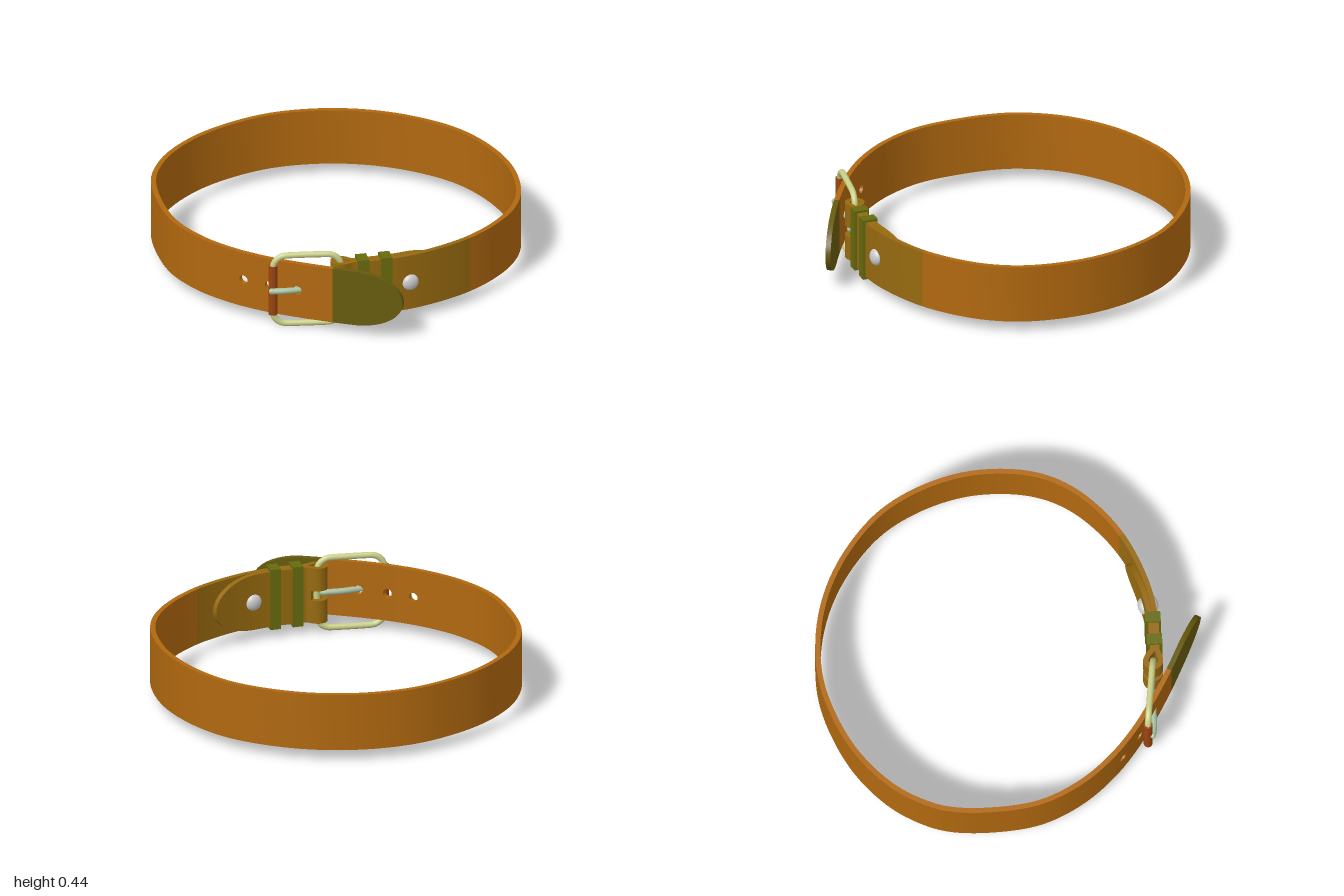
import * as THREE from 'three';

const MID = 0.225, HALF = 0.16, THICK = 0.014; // strap centre height, half width, half thickness

const mat = (color, side = THREE.FrontSide) => new THREE.MeshStandardMaterial({ color, side });
const leather = mat(0xb0680f), endLeather = mat(0x96690f), tipLeather = mat(0x665a0c);
const loopLeather = mat(0x666a0c), brass = mat(0xc8cf88), prongMetal = mat(0xa8c0a0);
const rollerMat = mat(0x9a4510), rivetMat = mat(0xcccccc);

// Strap centreline seen from above (x, z): tongue, round the waist, round the buckle bar, folded back
const path = new THREE.CatmullRomCurve3([
  [0.555, 0.957], [0.35, 0.94], [0.165, 0.925], [0, 0.904], [-0.2, 0.866], [-0.4, 0.80], [-0.6, 0.69],
  [-0.78, 0.52], [-0.91, 0.28], [-0.975, 0.08], [-0.985, -0.05], [-0.955, -0.25], [-0.85, -0.48],
  [-0.7, -0.665], [-0.5, -0.825], [-0.25, -0.925], [0, -0.957], [0.25, -0.927], [0.5, -0.835],
  [0.7, -0.68], [0.86, -0.475], [0.955, -0.25], [0.985, -0.07], [0.967, 0.1], [0.9, 0.28],
  [0.81, 0.43], [0.72, 0.535], [0.63, 0.62], [0.54, 0.69], [0.423, 0.758], [0.305, 0.808],
  [0.25, 0.828], [0.207, 0.862], [0.175, 0.865], [0.15, 0.842], [0.149, 0.812], [0.172, 0.79],
  [0.2, 0.79], [0.245, 0.802], [0.295, 0.782], [0.411, 0.732], [0.522, 0.665], [0.615, 0.59], [0.71, 0.5],
].map(([x, z]) => new THREE.Vector3(x, 0, z)), false, 'centripetal');
path.arcLengthDivisions = 2000;
const LENGTH = path.getLength();
const samples = path.getSpacedPoints(3000);

// Distance along the strap of the point nearest to (x, z)
function at(x, z) {
  let best = 0, bestD = Infinity;
  samples.forEach((p, i) => {
    const d = Math.hypot(p.x - x, p.z - z);
    if (d < bestD) { bestD = d; best = i; }
  });
  return (best / 3000) * LENGTH;
}

function named(mesh, name, parent) {
  mesh.name = name;
  parent.add(mesh);
  return mesh;
}

// Piece of bent strap from distance s0 to s1; top(s) and bottom(s) are heights about the middle
function band(s0, s1, top, bottom, n) {
  const pos = [], idx = [];
  const corners = (s) => {
    const u = Math.min(1, Math.max(0, s / LENGTH));
    const p = path.getPointAt(u), t = path.getTangentAt(u);
    const c = (side, y) => [p.x + t.z * side * THICK, MID + y, p.z - t.x * side * THICK];
    return [c(1, bottom(s)), c(1, top(s)), c(-1, top(s)), c(-1, bottom(s))];
  };
  for (let i = 0; i <= n; i++) {
    const s = s0 + (s1 - s0) * (0.5 - 0.5 * Math.cos((Math.PI * i) / n));
    const c = corners(s);
    for (let k = 0; k < 4; k++) pos.push(...c[k], ...c[(k + 1) % 4]);
    if (i === n) continue;
    for (let k = 0; k < 4; k++) {
      const a = i * 8 + k * 2, b = a + 1, d = a + 8, e = b + 8;
      idx.push(a, b, e, a, e, d);
    }
  }
  // closed ends
  const base = pos.length / 3;
  for (const s of [s0, s1]) corners(s).forEach((c) => pos.push(...c));
  idx.push(base, base + 3, base + 2, base, base + 2, base + 1);
  idx.push(base + 4, base + 5, base + 6, base + 4, base + 6, base + 7);
  const g = new THREE.BufferGeometry();
  g.setAttribute('position', new THREE.Float32BufferAttribute(pos, 3));
  g.setIndex(idx);
  g.computeVertexNormals();
  return g;
}

const full = () => HALF, fullLow = () => -HALF;

// Strap piece pierced by an opening with half height open(s)
function pierced(s0, s1, open, n, material, name, parent) {
  named(new THREE.Mesh(band(s0, s1, full, open, n), material), name + 'Upper', parent);
  named(new THREE.Mesh(band(s0, s1, (s) => -open(s), fullLow, n), material), name + 'Lower', parent);
}

function addStrap(g) {
  const plain = (s0, s1, n, material, name) =>
    named(new THREE.Mesh(band(s0, s1, full, fullLow, n), material), name, g);

  // tongue with rounded tip
  const tipEnd = at(0.165, 0.925);
  const tongue = (s) => HALF * Math.sqrt(Math.max(0, 1 - Math.max(0, 1 - s / 0.275) ** 2));
  named(new THREE.Mesh(band(0, tipEnd, tongue, (s) => -tongue(s), 40), tipLeather), 'tongue', g);

  // adjustment holes
  const r = 0.025;
  let s = tipEnd;
  for (const [x, z] of [[-0.03, 0.9], [-0.19, 0.869], [-0.335, 0.824]]) {
    const c = at(x, z);
    plain(s, c - r, 10, leather, 'strapFront');
    pierced(c - r, c + r, (v) => Math.sqrt(Math.max(0, r * r - (v - c) ** 2)), 16, leather, 'holePanel', g);
    s = c + r;
  }

  // waist, then the buckle end
  const endStart = at(0.81, 0.43);
  plain(s, endStart, 160, leather, 'strapBody');
  const slot0 = at(0.235, 0.838), slot1 = at(0.215, 0.794);
  plain(endStart, slot0, 40, endLeather, 'buckleEnd');

  // wrap round the bar, slotted for the prong
  pierced(slot0, slot1, () => 0.028, 40, endLeather, 'barWrap', g);

  // folded inner flap with rounded end
  const flapLen = 0.27;
  const flap = (v) => HALF * Math.sqrt(Math.max(0, 1 - Math.max(0, 1 - (LENGTH - v) / flapLen) ** 2));
  named(new THREE.Mesh(band(slot1, LENGTH, flap, (v) => -flap(v), 50), endLeather), 'innerFlap', g);
}

// Keeper loop: rectangular ring round both layers
function addKeeper(g, x, z) {
  const rect = (o, w, h) => {
    o.moveTo(-w, -h); o.lineTo(w, -h); o.lineTo(w, h); o.lineTo(-w, h); o.closePath();
    return o;
  };
  const shape = rect(new THREE.Shape(), 0.042, 0.174);
  shape.holes.push(rect(new THREE.Path(), 0.029, 0.161));
  const geo = new THREE.ExtrudeGeometry(shape, { depth: 0.06, bevelEnabled: false }).translate(0, 0, -0.03);
  const loop = named(new THREE.Mesh(geo, loopLeather), 'keeperLoop', g);
  loop.position.set(x, MID, z);
  loop.rotation.y = Math.atan2(0.92, -0.39);
}

function addBuckle(g) {
  const buckle = named(new THREE.Group(), 'buckle', g);
  buckle.position.set(0.013, 0.222, 0.873);
  buckle.rotation.y = Math.atan2(0.095, 0.355);

  // rounded rectangular wire frame
  const w = 0.184, h = 0.203, r = 0.075, frame = new THREE.CurvePath();
  const pts = [];
  [[1, 1], [-1, 1], [-1, -1], [1, -1]].forEach(([sx, sy], q) => {
    for (let i = 0; i <= 8; i++) {
      const a = (q + i / 8) * Math.PI / 2;
      pts.push(new THREE.Vector3(sx * (w - r) + r * Math.cos(a), sy * (h - r) + r * Math.sin(a), 0));
    }
  });
  pts.forEach((p, i) => frame.add(new THREE.LineCurve3(p, pts[(i + 1) % pts.length])));
  const smooth = new THREE.CatmullRomCurve3(pts, true, 'centripetal');
  named(new THREE.Mesh(new THREE.TubeGeometry(smooth, 160, 0.017, 14, true), brass), 'frame', buckle);

  // roller on the outer bar
  const roller = named(new THREE.Mesh(new THREE.CylinderGeometry(0.024, 0.024, 0.29, 24), rollerMat), 'roller', buckle);
  roller.position.x = -w;

  // prong: hooks the bar, passes through the hole and rests on the roller
  const prong = new THREE.CatmullRomCurve3([
    [0.187, 0.852], [0.16, 0.835], [0.11, 0.845], [0.04, 0.868], [-0.03, 0.903], [-0.1, 0.932], [-0.165, 0.948],
  ].map(([x, z]) => new THREE.Vector3(x, MID, z)));
  named(new THREE.Mesh(new THREE.TubeGeometry(prong, 40, 0.017, 12), prongMetal), 'prong', g);
  for (const t of [0, 1]) {
    const cap = named(new THREE.Mesh(new THREE.SphereGeometry(0.017, 12, 8), prongMetal), 'prongEnd', g);
    cap.position.copy(prong.getPoint(t));
  }
}

// Domed rivet through both layers
function addRivet(g) {
  const rivet = named(new THREE.Group(), 'rivet', g);
  rivet.position.set(0.531, MID, 0.678);
  rivet.rotation.y = Math.atan2(0.56, 0.83);
  for (const side of [-1, 1]) {
    const head = named(new THREE.Mesh(new THREE.SphereGeometry(0.046, 24, 16), rivetMat), 'rivetHead', rivet);
    head.scale.z = 0.6;
    head.position.z = side * 0.028;
  }
}

export function createModel() {
  const belt = new THREE.Group();
  belt.name = 'belt';
  addStrap(belt);
  addKeeper(belt, 0.3, 0.795);
  addKeeper(belt, 0.417, 0.745);
  addBuckle(belt);
  addRivet(belt);
  return belt;
}
